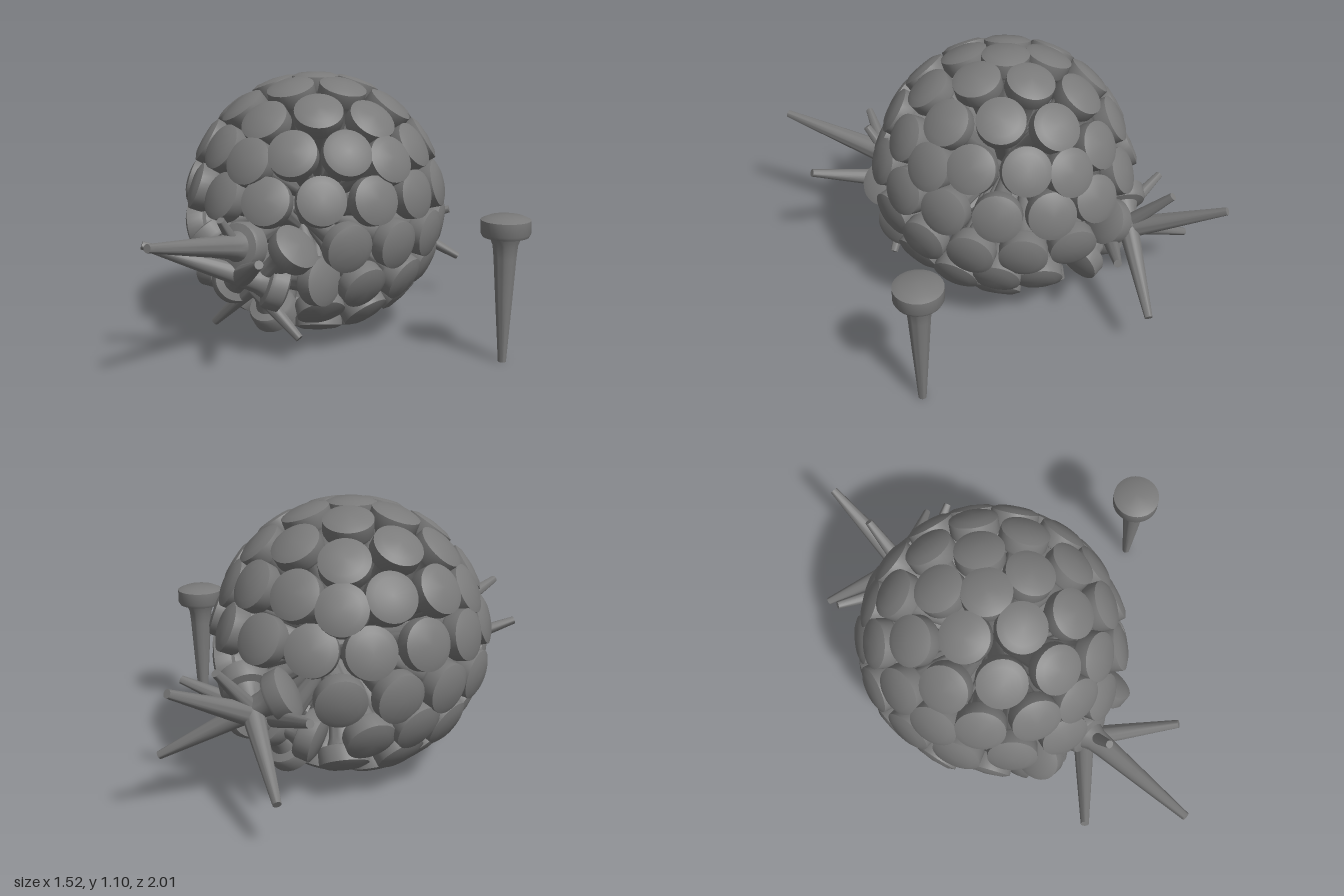
import * as THREE from 'three';
import { toCreasedNormals } from 'three/addons/utils/BufferGeometryUtils.js';

const PIN_LENGTH = 0.59, PIVOT = 0.554, RADIUS = 0.511;
const CENTRE = new THREE.Vector3(-0.215, 0.553, -0.045);

// Pins that lean out of the ball: [site direction, head direction], mirrored in x
const LEANING = [
  [[0, -0.19, 0.98], [0, -0.19, -0.98]],
  [[0, -0.795, 0.607], [0, -0.795, -0.607]],
  [[0.202, -0.515, 0.833], [0.69, -0.35, -0.64]],
  [[0.404, -0.172, 0.899], [0.74, 0.65, 0.04]],
  [[0.526, -0.447, 0.724], [0.97, 0.1, 0.1]],
  [[0, -0.447, -0.894], [0, -0.447, 0.894]],
  [[0, -0.727, -0.686], [0, -0.727, 0.686]],
  [[0.202, -0.172, -0.964], [0.735, 0.5, 0.46]],
  [[0.326, -0.515, -0.793], [0.89, -0.28, 0.36]],
];

// One pin: pointed shaft, flared neck and broad head, tip at y = 0
function pinGeometry() {
  const profile = [
    [0, 0], [0.016, 0], [0.033, 0.25], [0.044, 0.42], [0.049, 0.47], [0.06, 0.5],
    [0.09, 0.507], [0.097, 0.52], [0.097, 0.572], [0.07, 0.584], [0, PIN_LENGTH],
  ].map(([r, y]) => new THREE.Vector2(r, y));
  return toCreasedNormals(new THREE.LatheGeometry(profile, 32), 0.6);
}

// Evenly spread sites: the distinct corners of a subdivided icosahedron, one corner up
function ballSites() {
  const positions = new THREE.IcosahedronGeometry(1, 2).attributes.position;
  const g = (1 + Math.sqrt(5)) / 2;
  const up = new THREE.Vector3(0, 1, g).normalize();
  const side = new THREE.Vector3(1, 0, 0);
  const forward = new THREE.Vector3().crossVectors(side, up);
  const sites = [];
  for (let i = 0; i < positions.count; i++) {
    const v = new THREE.Vector3().fromBufferAttribute(positions, i);
    const site = new THREE.Vector3(v.dot(side), v.dot(up), v.dot(forward)).normalize();
    if (!sites.some((s) => s.distanceTo(site) < 0.05)) sites.push(site);
  }
  // Turn so that an upper corner faces the front
  const frontCorner = new THREE.Vector3(0, 0.447, 0.894);
  if (!sites.some((s) => s.distanceTo(frontCorner) < 0.05)) {
    sites.forEach((s) => { s.x *= -1; s.z *= -1; });
  }
  return sites;
}

// Direction in which the head at a site faces
function headDirection(site) {
  if (site.y > 0.25 || site.y < -0.92) return site.clone();
  // Row just above the middle tips upward and outward at the front and back
  if (site.y > 0) {
    const lean = Math.abs(site.z);
    return new THREE.Vector3(site.x * (1 + 0.5 * lean), site.y + 0.3 * lean, site.z).normalize();
  }
  const mirrored = new THREE.Vector3(Math.abs(site.x), site.y, site.z);
  for (const [from, to] of LEANING) {
    if (mirrored.distanceTo(new THREE.Vector3(...from)) < 0.08) {
      const head = new THREE.Vector3(...to).normalize();
      if (site.x < 0) head.x *= -1;
      return head;
    }
  }
  return new THREE.Vector3(site.x * 1.2, site.y, site.z * 0.7).normalize();
}

export function createModel() {
  const model = new THREE.Group();
  model.name = 'pinBall';
  const material = new THREE.MeshStandardMaterial({ color: 0x7a7a7a });
  const geometry = pinGeometry();

  // Ball of pins
  const ball = new THREE.Group();
  ball.name = 'ballOfPins';
  const up = new THREE.Vector3(0, 1, 0);
  ballSites().forEach((site, i) => {
    const pin = new THREE.Mesh(geometry, material);
    pin.name = `pin${i + 1}`;
    const head = headDirection(site);
    pin.quaternion.setFromUnitVectors(up, head);
    pin.position.copy(CENTRE).addScaledVector(site, RADIUS).addScaledVector(head, -PIVOT);
    ball.add(pin);
  });
  model.add(ball);

  // Single upright pin beside the ball
  const single = new THREE.Mesh(geometry, material);
  single.name = 'singlePin';
  single.position.set(0.66, 0, -0.045);
  model.add(single);
  return model;
}
